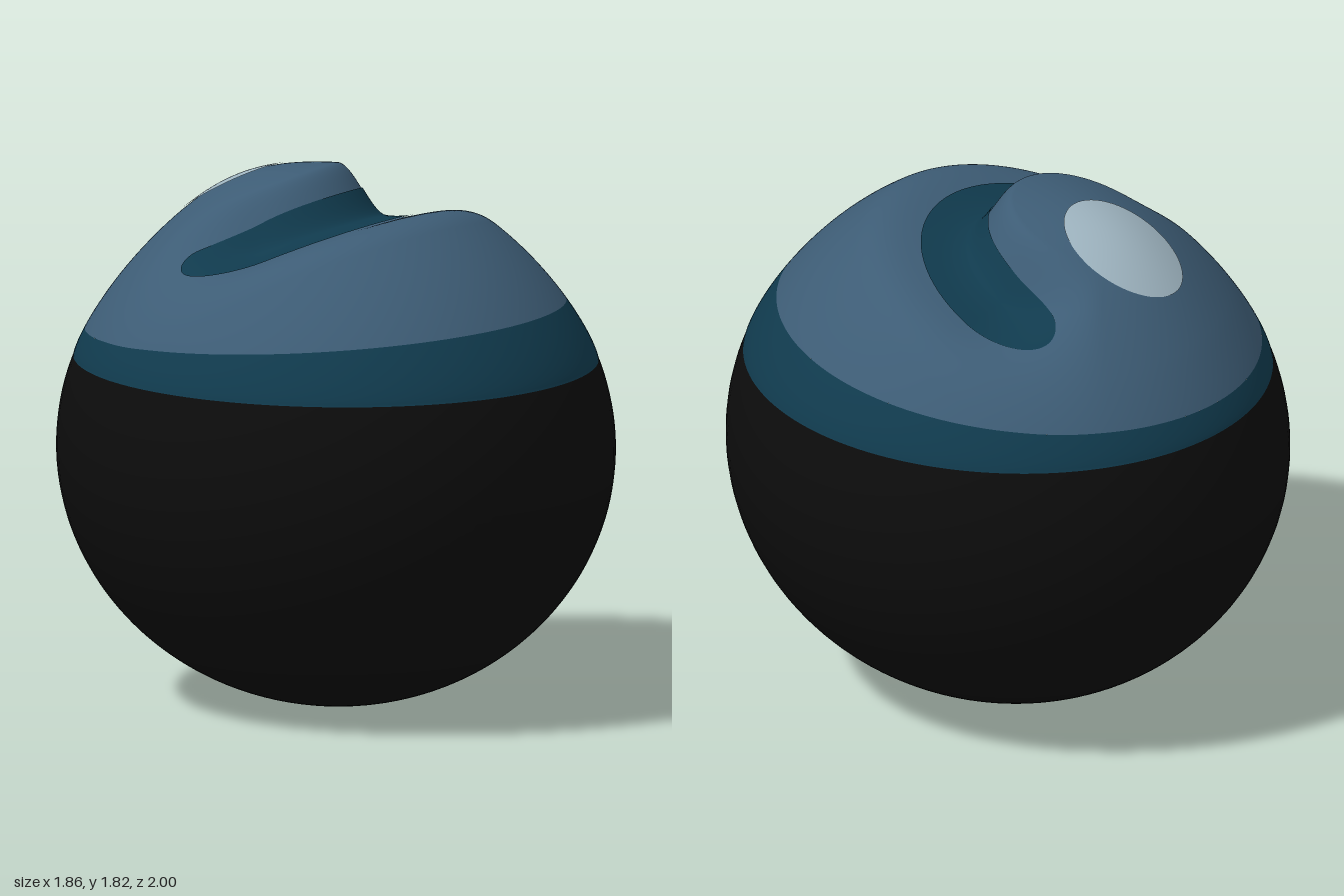
import * as THREE from 'three';

const mat = (name, color) => Object.assign(new THREE.MeshStandardMaterial({ color }), { name });

// Rim where the dome meets the round body
const RIM_X = 0.873, RIM_Z = 0.939, RIM_Y = 1.17, RISE = 0.645;
// Centre of the curved groove, and the direction it faces
const CX = -0.2, CZ = -0.24, FACING = Math.PI / 4;
const { smoothstep } = THREE.MathUtils;

// Height of the top: a dome, a slight swelling at the back right, minus the curved groove
function height(x, z) {
  const e2 = (x / RIM_X) ** 2 + (z / RIM_Z) ** 2;
  const dome = RIM_Y + RISE * Math.max(0, 1 - e2) ** 0.8;
  const swell = 0.04 * Math.exp(-((x + 0.25) ** 2 + (z + 0.42) ** 2) / 0.08) * smoothstep(1 - e2, 0, 0.3);
  const dx = x - CX, dz = z - CZ, r = Math.hypot(dx, dz);
  const turn = Math.atan2(dz, dx) - FACING;
  const angle = Math.abs(Math.atan2(Math.sin(turn), Math.cos(turn)));
  const groove = 0.16 * smoothstep(r, 0.27, 0.43) * (1 - smoothstep(r, 0.42, 0.8))
    * (1 - smoothstep(angle, 1.05, 1.95));
  return dome + swell - groove;
}

// Patch of the top surface; at(u, v) gives [x, z], u runs round and v runs inward
function patch(name, material, at, nu, nv, lift = 0) {
  const pos = [], nor = [], idx = [], d = 0.002, n = new THREE.Vector3();
  for (let j = 0; j <= nv; j++) {
    for (let i = 0; i <= nu; i++) {
      const [x, z] = at(i / nu, j / nv);
      n.set(height(x - d, z) - height(x + d, z), 2 * d, height(x, z - d) - height(x, z + d)).normalize();
      pos.push(x + n.x * lift, height(x, z) + n.y * lift, z + n.z * lift);
      nor.push(n.x, n.y, n.z);
      if (i < nu && j < nv) {
        const a = j * (nu + 1) + i, b = a + 1, c = a + nu + 1, e = c + 1;
        idx.push(a, c, b, b, c, e);
      }
    }
  }
  const g = new THREE.BufferGeometry();
  g.setAttribute('position', new THREE.Float32BufferAttribute(pos, 3));
  g.setAttribute('normal', new THREE.Float32BufferAttribute(nor, 3));
  g.setIndex(idx);
  const mesh = new THREE.Mesh(g, material);
  mesh.name = name;
  return mesh;
}

export function createModel() {
  const group = new THREE.Group();
  group.name = 'roundBead';
  const black = mat('black', 0x0c0c0c);
  const teal = mat('darkTeal', 0x103a4d);
  const blue = mat('slateBlue', 0x3d5c75);
  const pale = mat('paleBlue', 0x9fb5c1);

  // Round body, cut off level at the rim
  const body = new THREE.Mesh(
    new THREE.SphereGeometry(1, 96, 64, 0, Math.PI * 2, Math.acos(0.3 / 0.87), Math.PI - Math.acos(0.3 / 0.87)),
    black);
  body.name = 'body';
  body.scale.set(0.93, 0.87, 1);
  body.position.y = 0.87;
  group.add(body);

  // Border between band and cap lies on a slightly tilted plane
  const border = (t) => {
    const y = 1.315 + 0.042 * Math.cos(t) + 0.045 * Math.sin(t);
    return Math.sqrt(1 - ((y - RIM_Y) / RISE) ** 1.25);
  };
  const onDome = (t, e) => [RIM_X * e * Math.cos(t), RIM_Z * e * Math.sin(t)];
  const TAU = Math.PI * 2;
  group.add(patch('band', teal, (u, v) => onDome(u * TAU, 1 + (border(u * TAU) - 1) * v ** 1.5), 160, 14));
  group.add(patch('cap', blue, (u, v) => onDome(u * TAU, border(u * TAU) * (1 - v)), 192, 100));

  // Painted crescent along the groove, with rounded ends
  group.add(patch('grooveCrescent', teal, (u, v) => {
    const s = -Math.cos(u * Math.PI);
    const a = FACING + s * 1.62;
    const r = 0.465 + 0.03 * s ** 4 + 0.115 * Math.sqrt(Math.max(0, 1 - s ** 8)) * (1 - 2 * v);
    return [CX + r * Math.cos(a), CZ + r * Math.sin(a)];
  }, 120, 28, 0.004));

  // Pale round spot on the raised side
  group.add(patch('spot', pale, (u, v) => {
    const r = 0.198 * (1 - v);
    return [-0.23 + r * Math.cos(u * TAU), -0.395 + r * Math.sin(u * TAU)];
  }, 64, 16, 0.004));

  return group;
}
